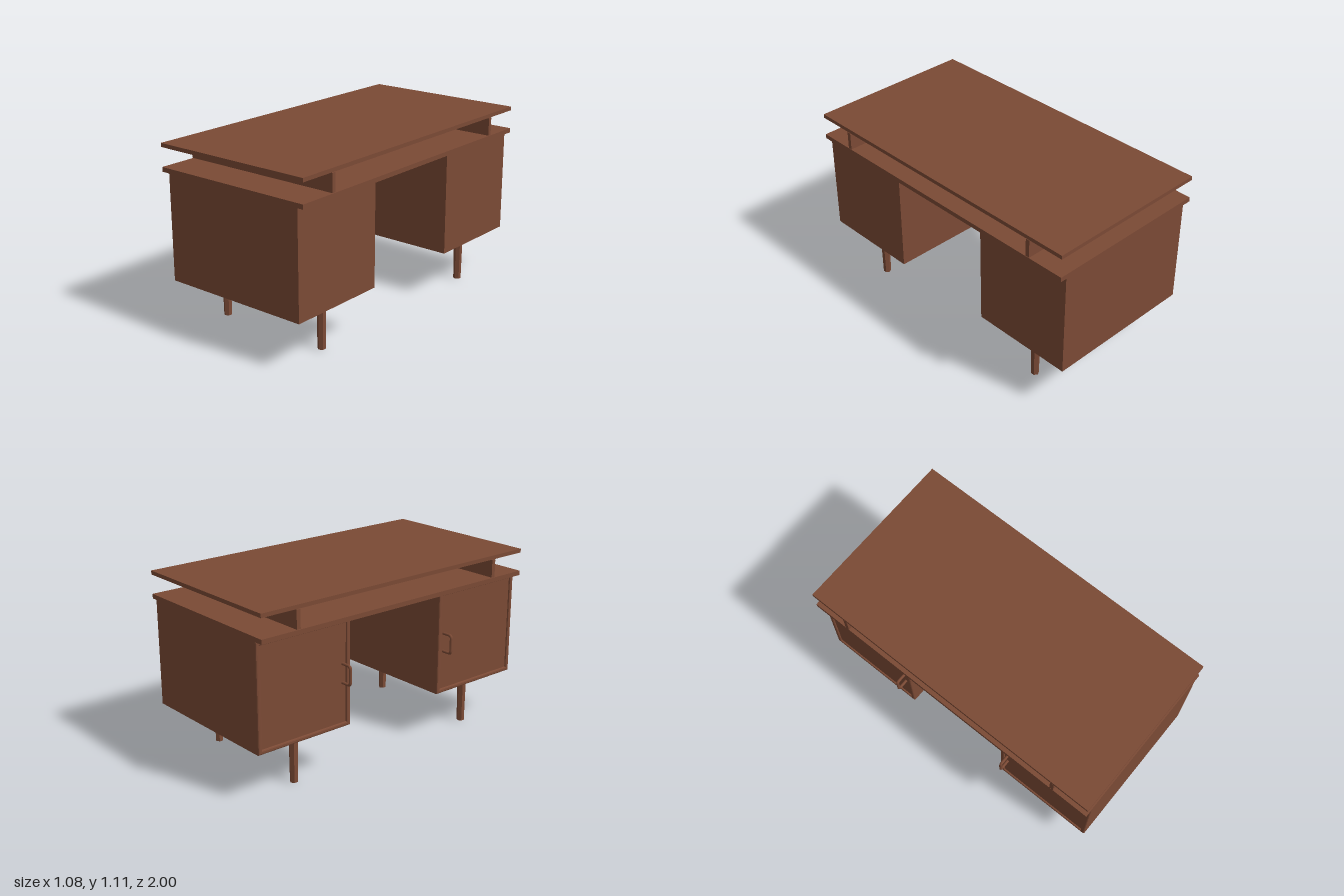
import * as THREE from 'three';

export function createModel() {
  const desk = new THREE.Group();
  desk.name = 'desk';
  const wood = new THREE.MeshStandardMaterial({ color: 0x7b4a35 });
  wood.name = 'walnut wood';

  const add = (name, geometry, parent = desk) => {
    const mesh = new THREE.Mesh(geometry, wood);
    mesh.name = name;
    parent.add(mesh);
    return mesh;
  };
  // Box given by its limits on each axis
  const block = (name, x0, x1, y0, y1, z0, z1, parent) =>
    add(name, new THREE.BoxGeometry(x1 - x0, y1 - y0, z1 - z0), parent)
      .position.set((x0 + x1) / 2, (y0 + y1) / 2, (z0 + z1) / 2);

  // Floating top above the lower desktop
  block('upperTop', -0.523, 0.538, 1.088, 1.112, -1, 1);
  block('lowerTop', -0.523, 0.538, 0.943, 0.971, -1, 1);

  // Bevelled door frame, drawn in the z-y plane and facing -x
  const bottom = 0.294, height = 0.649, width = 0.65, rim = 0.027, bevel = 0.008;
  const rect = (path, inset) => {
    const w = width / 2 - inset, h = height / 2 - inset;
    return path.moveTo(-w, -h).lineTo(w, -h).lineTo(w, h).lineTo(-w, h).closePath();
  };
  const frameShape = rect(new THREE.Shape(), 0);
  frameShape.holes.push(rect(new THREE.Path(), rim));
  const frameGeometry = new THREE.ExtrudeGeometry(frameShape, {
    depth: 0.016, bevelEnabled: true, bevelSize: bevel, bevelThickness: bevel,
    bevelOffset: -bevel, bevelSegments: 2,
  }).rotateY(-Math.PI / 2);

  // Pull handle: square loop with rounded corners
  const pull = new THREE.CurvePath();
  const p = (x, y) => new THREE.Vector3(x, y, 0);
  pull.add(new THREE.LineCurve3(p(-0.45, 0.677), p(-0.51, 0.677)));
  pull.add(new THREE.QuadraticBezierCurve3(p(-0.51, 0.677), p(-0.529, 0.677), p(-0.529, 0.658)));
  pull.add(new THREE.LineCurve3(p(-0.529, 0.658), p(-0.529, 0.582)));
  pull.add(new THREE.QuadraticBezierCurve3(p(-0.529, 0.582), p(-0.529, 0.563), p(-0.51, 0.563)));
  pull.add(new THREE.LineCurve3(p(-0.51, 0.563), p(-0.45, 0.563)));
  const pullGeometry = new THREE.TubeGeometry(pull, 48, 0.009, 8);

  // Six-sided tapered leg
  const legGeometry = new THREE.CylinderGeometry(0.028, 0.024, 0.3, 6).toNonIndexed();
  legGeometry.computeVertexNormals();

  for (const s of [-1, 1]) {
    const pedestal = new THREE.Group();
    pedestal.name = s > 0 ? 'frontPedestal' : 'backPedestal';
    desk.add(pedestal);

    // The carcass front face, set back inside the frame, is the door
    const mid = s * 0.675;
    block('cabinet', -0.462, 0.498, bottom, bottom + height, mid - width / 2, mid + width / 2, pedestal);
    add('doorFrame', frameGeometry, pedestal).position.set(-0.448, bottom + height / 2, mid);
    add('handle', pullGeometry, pedestal).position.z = s * 0.4;

    for (const x of [-0.364, 0.381]) {
      add('leg', legGeometry, pedestal).position.set(x, 0.15, s * 0.682);
    }

    // Riser carrying the upper top
    block('riser', -0.523, 0.538, 0.974, 1.085, s * 0.755 - 0.013, s * 0.755 + 0.013);
  }
  return desk;
}
